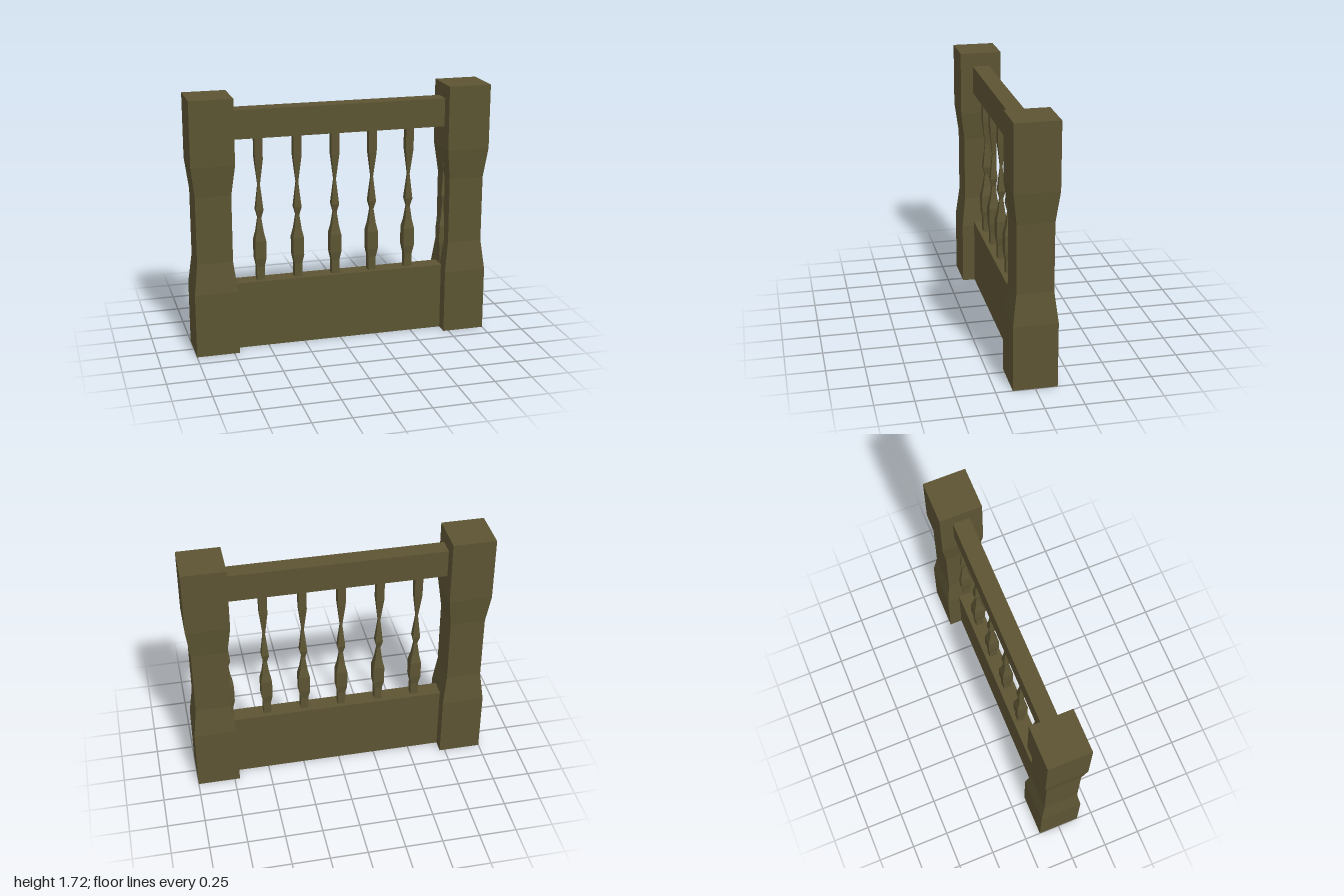
import * as THREE from 'three';

const material = new THREE.MeshStandardMaterial({ color: 0x5c5433, flatShading: true });

// Square-section turning: profile is a list of [half width, height], bottom to top
function squareTurning(name, profile, x) {
  const closed = [[0, profile[0][1]], ...profile, [0, profile[profile.length - 1][1]]];
  const points = closed.map(([half, y]) => new THREE.Vector2(half * Math.SQRT2, y));
  const geometry = new THREE.LatheGeometry(points, 4, Math.PI / 4).toNonIndexed();
  geometry.computeVertexNormals();
  const mesh = new THREE.Mesh(geometry, material);
  mesh.name = name;
  mesh.position.x = x;
  return mesh;
}

// Horizontal beam between two heights
function beam(name, width, bottom, top, depth) {
  const mesh = new THREE.Mesh(new THREE.BoxGeometry(width, top - bottom, depth), material);
  mesh.name = name;
  mesh.position.y = (bottom + top) / 2;
  return mesh;
}

export function createModel() {
  const model = new THREE.Group();
  model.name = 'balustrade';

  // End posts with a narrowed middle
  const postProfile = [
    [0.1425, 0], [0.1425, 0.432], [0.1175, 0.635],
    [0.1175, 1.082], [0.1425, 1.285], [0.1425, 1.715],
  ];
  model.add(squareTurning('leftPost', postProfile, 0.8575));
  model.add(squareTurning('rightPost', postProfile, -0.8575));

  // Solid base wall and handrail
  model.add(beam('baseWall', 1.44, 0, 0.457, 0.113));
  model.add(beam('handrail', 1.44, 1.432, 1.622, 0.113));

  // Evenly spaced balusters; the last is half sunk into the left post
  const balusterProfile = [
    [0.026, 0.45], [0.026, 0.55], [0.037, 0.61], [0.037, 0.73], [0.024, 0.79],
    [0.012, 0.885], [0.025, 0.94], [0.008, 1.11], [0.026, 1.28], [0.027, 1.44],
  ];
  const balusters = new THREE.Group();
  balusters.name = 'balusters';
  for (let i = 0; i < 6; i++) {
    balusters.add(squareTurning('baluster', balusterProfile, -0.538 + i * 0.256));
  }
  model.add(balusters);

  return model;
}
